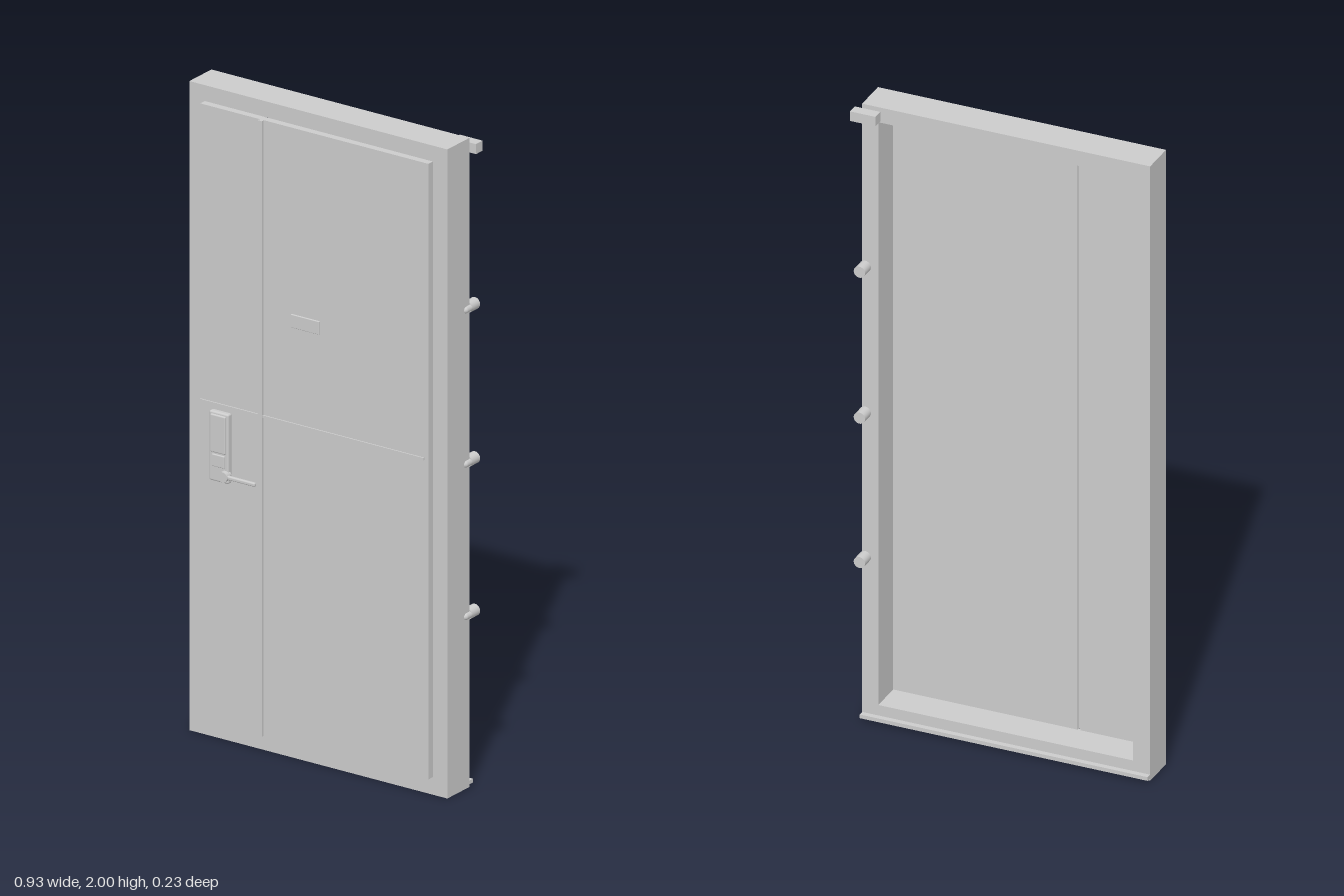
import * as THREE from 'three';
import { RoundedBoxGeometry } from 'three/addons/geometries/RoundedBoxGeometry.js';

export function createModel() {
  const door = new THREE.Group();
  door.name = 'securityDoor';
  const grey = new THREE.MeshStandardMaterial({ name: 'light grey', color: 0xcccccc });

  const add = (name, geometry, x = 0, y = 0, z = 0, parent = door) => {
    const mesh = new THREE.Mesh(geometry, grey);
    mesh.name = name;
    mesh.position.set(x, y, z);
    parent.add(mesh);
    return mesh;
  };
  // Box given by its limits on each axis; a radius rounds the edges
  const box = (name, [x0, x1], [y0, y1], [z0, z1], radius = 0, parent = door) => {
    const size = [x1 - x0, y1 - y0, z1 - z0];
    const geometry = radius ? new RoundedBoxGeometry(...size, 3, radius) : new THREE.BoxGeometry(...size);
    return add(name, geometry, (x0 + x1) / 2, (y0 + y1) / 2, (z0 + z1) / 2, parent);
  };
  const rectangle = (Path, x0, x1, y0, y1) => {
    const path = new Path();
    path.moveTo(x0, y0).lineTo(x1, y0).lineTo(x1, y1).lineTo(x0, y1).closePath();
    return path;
  };

  // Frame with an open rectangular hole
  const outline = rectangle(THREE.Shape, -0.465, 0.44, 0, 2);
  outline.holes.push(rectangle(THREE.Path, -0.411, 0.389, 0.054, 1.951));
  add('frame', new THREE.ExtrudeGeometry(outline, { depth: 0.109, bevelEnabled: false }), 0, 0, -0.072);
  box('sillLip', [-0.465, 0.44], [0.008, 0.02], [-0.089, -0.072]);

  // Two leaf panels either side of a vertical I-shaped trim
  box('narrowPanel', [-0.411, -0.2], [0.054, 1.951], [0.03, 0.059]);
  box('widePanel', [-0.19, 0.389], [0.054, 1.951], [0.03, 0.059]);
  box('trimWeb', [-0.2, -0.19], [0.054, 1.951], [0.038, 0.062]);
  box('trimCap', [-0.202, -0.188], [0.054, 1.951], [0.06, 0.069]);

  // Horizontal trim, interrupted by the vertical one
  box('crossTrimNarrow', [-0.408, -0.202], [1.036, 1.044], [0.062, 0.066]);
  box('crossTrimWide', [-0.188, 0.377], [1.036, 1.044], [0.062, 0.066]);

  // Small plaque on the wide panel
  box('plaque', [-0.08, 0.02], [1.344, 1.385], [0.073, 0.079], 0.002);

  // Lock: backplate, cover, keypad and lever
  const lock = new THREE.Group();
  lock.name = 'lock';
  door.add(lock);
  box('backplate', [-0.357, -0.289], [0.815, 1.03], [0.073, 0.093], 0.006, lock);
  box('slidingCover', [-0.349, -0.296], [0.906, 1.023], [0.09, 0.099], 0.004, lock);
  box('lowerPad', [-0.345, -0.3], [0.862, 0.9], [0.09, 0.097], 0.003, lock);
  const disc = (name, radius, length, z) =>
    add(name, new THREE.CylinderGeometry(radius, radius, length, 24), -0.295, 0.843, z, lock).rotateX(Math.PI / 2);
  disc('leverNeck', 0.011, 0.02, 0.094);
  disc('leverHub', 0.016, 0.014, 0.106);
  box('lever', [-0.295, -0.185], [0.837, 0.849], [0.099, 0.11], 0.004, lock);

  // Three hinge knobs down the back edge
  for (const y of [0.53, 1.0, 1.475]) {
    const hinge = new THREE.Group();
    hinge.name = 'hinge';
    hinge.position.y = y;
    door.add(hinge);
    add('hingeKnob', new THREE.CylinderGeometry(0.018, 0.018, 0.04, 24), 0.429, 0, -0.095, hinge).rotateX(Math.PI / 2);
    add('hingePin', new THREE.CapsuleGeometry(0.011, 0.02, 6, 16), 0.437, 0, -0.066, hinge).rotateX(Math.PI / 2);
  }

  // Sensor box at the top corner
  box('sensorBox', [0.383, 0.463], [1.955, 1.986], [-0.105, -0.072]);

  return door;
}
